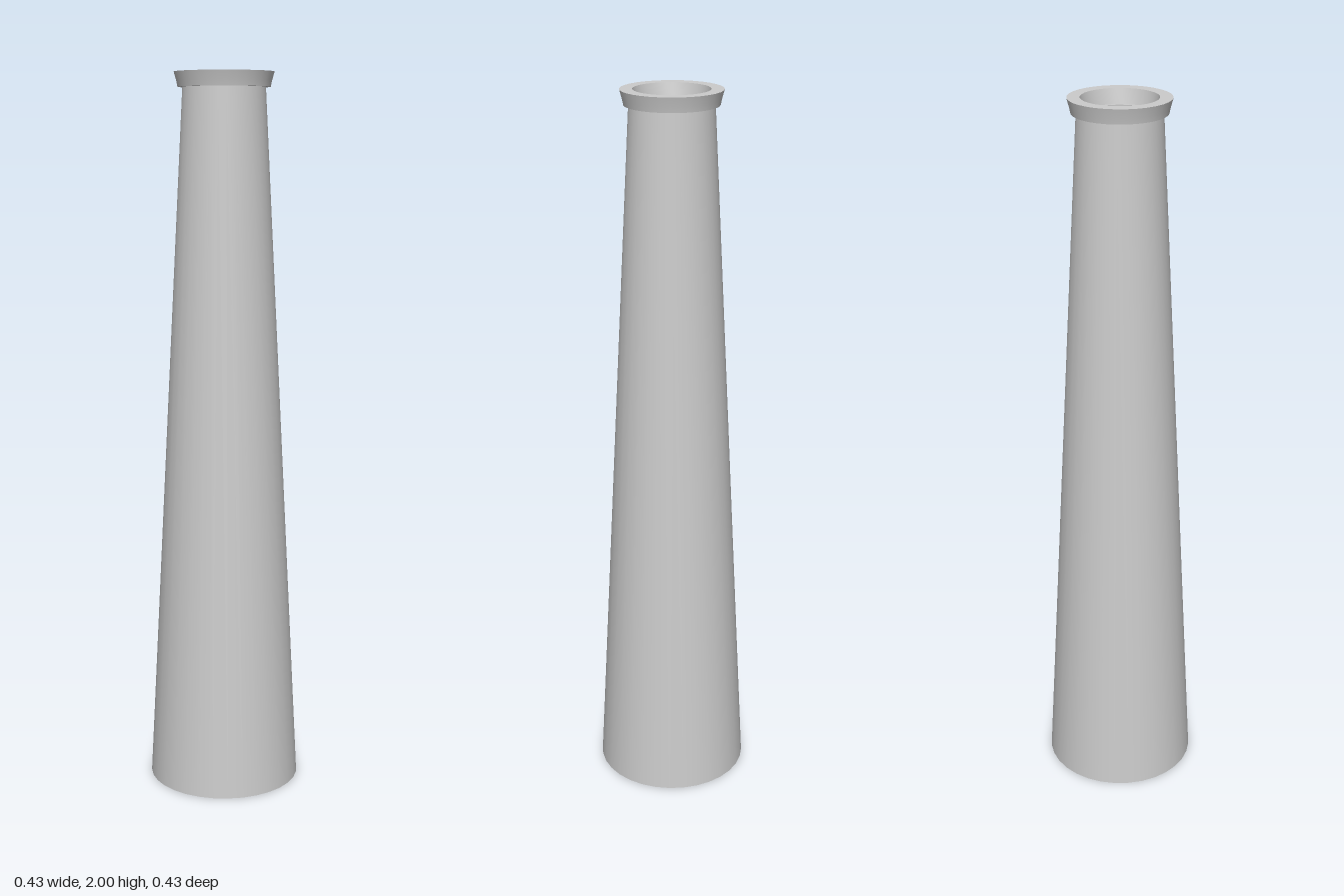
import * as THREE from 'three';
import { toCreasedNormals } from 'three/addons/utils/BufferGeometryUtils.js';

const material = new THREE.MeshStandardMaterial({ color: 0xcccccc });

// Turned part from [radius, height] pairs, running up the outside and down the inside
function turned(name, profile) {
  const points = profile.map(([r, y]) => new THREE.Vector2(r, y));
  const geometry = toCreasedNormals(new THREE.LatheGeometry(points, 32), Math.PI / 6);
  const mesh = new THREE.Mesh(geometry, material);
  mesh.name = name;
  return mesh;
}

export function createModel() {
  const group = new THREE.Group();
  group.name = 'chimney';

  // Tapered hollow stack with a closed base
  group.add(turned('stack', [
    [0, 0], [0.213, 0], [0.113, 1.96], [0.087, 1.96], [0.187, 0.03], [0, 0.03],
  ]));

  // Flared collar around the mouth, its inside narrowing down to the stack
  group.add(turned('collar', [
    [0.095, 1.96], [0.126, 1.96], [0.129, 1.975], [0.136, 2],
    [0.102, 2], [0.095, 1.96],
  ]));

  return group;
}
